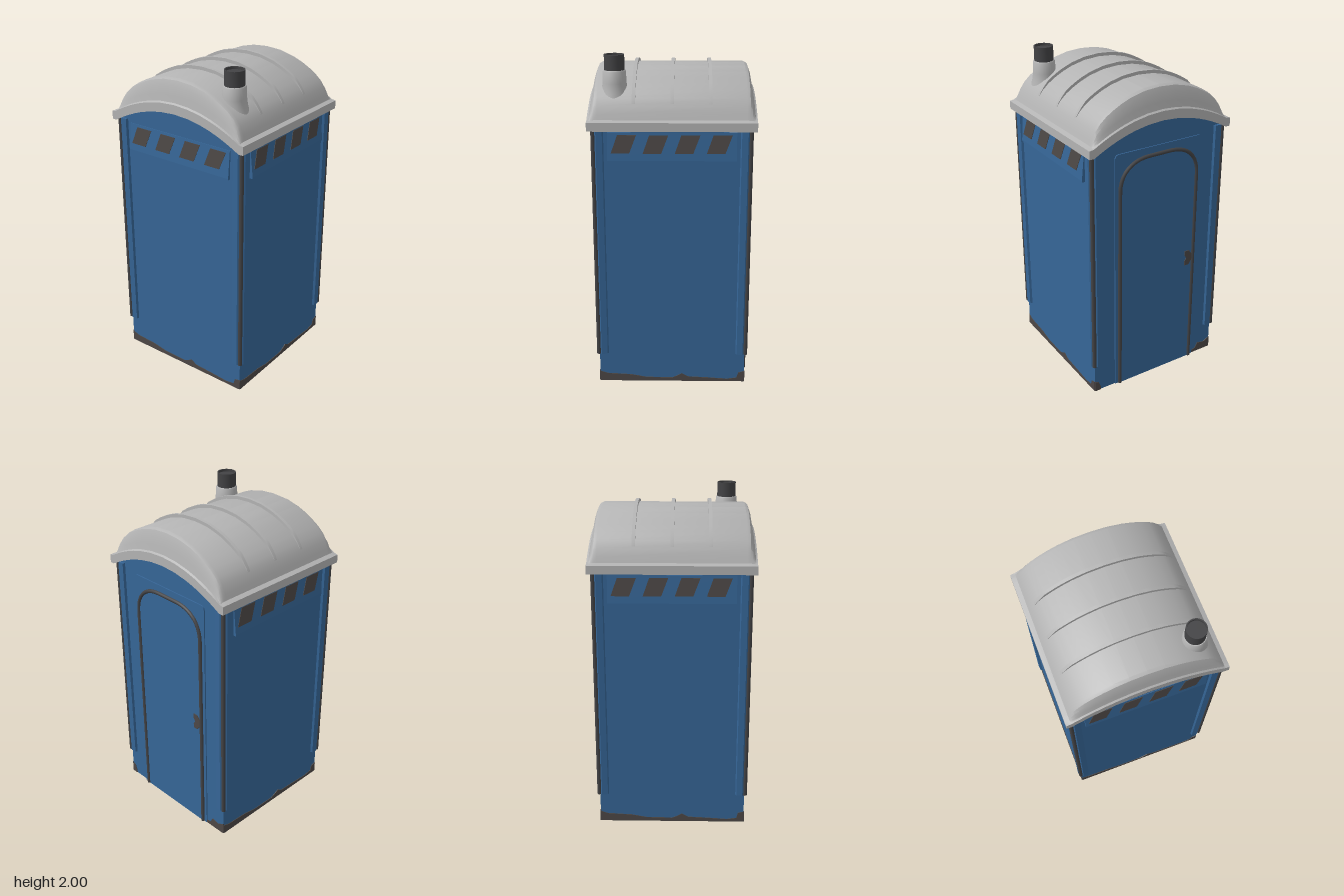
import * as THREE from 'three';
import { toCreasedNormals } from 'three/addons/utils/BufferGeometryUtils.js';

const mat = (name, color, side = THREE.FrontSide) => {
  const m = new THREE.MeshStandardMaterial({ color, side });
  m.name = name;
  return m;
};

const W = 0.445; // half width of the cabin

// Roof curves along z: underside, top of the end lip, and main shell
const under = z => Math.max(1.59, 1.72 - 0.13 * (z / 0.45) ** 2);
const lipTop = z => Math.max(1.64, 1.775 - 0.135 * (z / 0.46) ** 2);
const SHELL = [[0, 1.915], [0.1, 1.908], [0.19, 1.886], [0.25, 1.862], [0.3, 1.836], [0.35, 1.804],
  [0.39, 1.768], [0.42, 1.727], [0.44, 1.68], [0.452, 1.65], [0.48, 1.64]];
const shell = z => {
  const a = Math.abs(z);
  const i = Math.max(1, SHELL.findIndex(p => p[0] >= a - 1e-6));
  const [p, q] = [SHELL[i - 1], SHELL[i]];
  return p[1] + (q[1] - p[1]) * (a - p[0]) / (q[0] - p[0]);
};

const shapeOf = pts => new THREE.Shape(pts.map(p => new THREE.Vector2(p[0], p[1])));
const extrude = (pts, depth) => new THREE.ExtrudeGeometry(shapeOf(pts), { depth, bevelEnabled: false });

// Arched shell lofted along x, closed by a lip at each end
function roofGeometry() {
  const half = SHELL.map(p => p[0]);
  const zs = [...half.slice(1).reverse(), ...half.map(z => -z)];
  const n = zs.length, ring = 2 * n;
  const ends = [[0.482, 0], [0.472, 0.06], [0.464, 0.35], [0.455, 0.7], [0.443, 0.93], [0.425, 1]];
  const stations = [...ends.map(([x, k]) => [-x, k]), ...ends.slice().reverse()];
  const pos = [], idx = [];
  for (const [x, k] of stations) {
    for (const z of zs) pos.push(x, lipTop(z) + k * (shell(z) - lipTop(z)), z);
    for (const z of zs.slice().reverse()) pos.push(x, under(z), z);
  }
  for (let s = 0; s < stations.length - 1; s++) {
    for (let i = 0; i < ring; i++) {
      const j = (i + 1) % ring;
      const a = s * ring + i, b = s * ring + j, c = b + ring, d = a + ring;
      idx.push(a, d, c, a, c, b);
    }
  }
  const last = (stations.length - 1) * ring;
  for (let i = 0; i < n - 1; i++) {
    const t0 = i, t1 = i + 1, b0 = ring - 1 - i, b1 = ring - 2 - i;
    idx.push(last + t0, last + b0, last + b1, last + t0, last + b1, last + t1);
    idx.push(t0, b1, b0, t0, t1, b1);
  }
  const g = new THREE.BufferGeometry();
  g.setAttribute('position', new THREE.Float32BufferAttribute(pos, 3));
  g.setIndex(idx);
  return toCreasedNormals(g, 0.5);
}

export function createModel() {
  const blue = mat('blue plastic', 0x366697);
  const blueWall = mat('blue wall', 0x366697, THREE.DoubleSide);
  const grey = mat('light grey roof', 0xb4b4b4);
  const trim = mat('dark trim', 0x434345);
  const grime = mat('dark brown grey', 0x4d4846);

  const model = new THREE.Group();
  const add = (parent, name, geo, material, x = 0, y = 0, z = 0) => {
    const m = new THREE.Mesh(geo, material);
    m.name = name;
    m.position.set(x, y, z);
    parent.add(m);
    return m;
  };

  // Louvred vent hood with slanted dark slots, leaning out at the bottom
  const addVent = side => {
    const hood = extrude([[0, 1.41], [0.02, 1.41], [0.02, 1.418], [0.004, 1.58], [0, 1.58]], 0.736);
    hood.rotateY(-Math.PI / 2); // profile x becomes z
    add(side, 'ventHood', hood, blue, 0.368, 0, W);
    const slot = extrude([[-0.055, 0.05], [0.05, 0.05], [0.09, 0.155], [-0.018, 0.155]], 0.003);
    for (let i = 0; i < 4; i++) {
      const m = add(side, 'ventSlot', slot, grime, -0.293 + i * 0.182, 1.41, W + 0.0207);
      m.rotation.x = -Math.atan(0.016 / 0.162);
    }
  };

  // Arched door with surround, dark seal and latch
  const addDoor = side => {
    const s = new THREE.Shape();
    s.moveTo(-0.3, 0);
    s.lineTo(0.3, 0);
    s.lineTo(0.3, 1.535);
    s.quadraticCurveTo(0.3, 1.565, 0.27, 1.565);
    s.lineTo(-0.27, 1.565);
    s.quadraticCurveTo(-0.3, 1.565, -0.3, 1.535);
    add(side, 'doorSurround', new THREE.ExtrudeGeometry(s, { depth: 0.007, bevelEnabled: false }), blue, 0, 0, W);
    const outline = new THREE.CurvePath();
    const v = (x, y) => new THREE.Vector3(x, y, 0);
    outline.add(new THREE.LineCurve3(v(-0.268, 0), v(-0.268, 1.33)));
    outline.add(new THREE.CubicBezierCurve3(v(-0.268, 1.33), v(-0.268, 1.45), v(-0.19, 1.513), v(-0.07, 1.513)));
    outline.add(new THREE.LineCurve3(v(-0.07, 1.513), v(0.07, 1.513)));
    outline.add(new THREE.CubicBezierCurve3(v(0.07, 1.513), v(0.19, 1.513), v(0.268, 1.45), v(0.268, 1.33)));
    outline.add(new THREE.LineCurve3(v(0.268, 1.33), v(0.268, 0)));
    add(side, 'doorSeal', new THREE.TubeGeometry(outline, 120, 0.012, 8), trim, 0, 0, W + 0.009);
    const panel = outline.getSpacedPoints(80).map(p => [p.x, p.y]);
    add(side, 'doorPanel', extrude(panel, 0.004), blue, 0, 0, W + 0.007);
    const latch = [[0.205, 0.71], [0.235, 0.71], [0.257, 0.74], [0.257, 0.78], [0.235, 0.81],
      [0.205, 0.81], [0.205, 0.78], [0.218, 0.76], [0.205, 0.74]];
    add(side, 'doorLatch', extrude(latch, 0.004), grime, 0, 0, W + 0.011);
  };

  // Irregular grime along the foot of a wall, seen from inside and out
  const addGrime = (side, tops) => {
    const pts = [[tops[0][0], 0], [tops[tops.length - 1][0], 0], ...tops.slice().reverse()];
    add(side, 'footGrime', extrude(pts, 0.008), grime, 0, 0, W - 0.004);
  };
  const longGrime = [[-W, 0.065], [-0.4, 0.05], [-0.25, 0.042], [-0.16, 0.025], [0, 0.022], [0.03, 0.035],
    [0.06, 0.052], [0.1, 0.03], [0.22, 0.024], [0.34, 0.016], [0.4, 0.025], [0.41, 0.06], [W, 0.07]];

  // Four sides, each built facing +z and turned into place
  const gable = [[-W, 0], [W, 0]];
  for (let i = 0; i <= 20; i++) {
    const x = W - (i / 20) * 2 * W;
    gable.push([x, under(x) + 0.005]);
  }
  const flat = [[-W, 0], [W, 0], [W, 1.6], [-W, 1.6]];
  const postOutline = [[0.39, W], [0.396, 0.459], [0.432, 0.463], [0.463, 0.432], [0.459, 0.396], [W, 0.39], [W, W]];
  const postGeo = extrude(postOutline.map(([x, z]) => [x, -z]), 1.41);
  postGeo.rotateX(-Math.PI / 2);
  const stripGeo = new THREE.CylinderGeometry(0.013, 0.013, 1.41, 10);

  ['frontSide', 'doorSide', 'backSide', 'leftSide'].forEach((unused, i) => {
    const side = new THREE.Group();
    side.name = ['frontSide', 'doorSide', 'backSide', 'plainSide'][i];
    side.rotation.y = i * Math.PI / 2;
    model.add(side);
    add(side, 'wall', new THREE.ShapeGeometry(shapeOf(i % 2 ? gable : flat)), blueWall, 0, 0, W);
    add(side, 'cornerPost', postGeo, blue, 0, 0.19, 0);
    add(side, 'cornerStrip', stripGeo, trim, 0.449, 0.895, 0.449);
    if (i === 1) {
      addDoor(side);
      addGrime(side, [[-W, 0.07], [-0.42, 0.06], [-0.405, 0.02]]);
      addGrime(side, [[0.285, 0.015], [0.33, 0.025], [0.35, 0.06], [0.4, 0.05], [W, 0.075]]);
    } else {
      addVent(side);
      addGrime(side, longGrime);
    }
  });

  // Roof shell and its three raised ribs
  add(model, 'roof', roofGeometry(), grey);
  const ribTop = [], ribBase = [];
  for (let i = 0; i <= 32; i++) {
    const z = -0.43 + (i / 32) * 0.86;
    ribTop.push([z, shell(z) + 0.02 * Math.min(1, (0.43 - Math.abs(z)) / 0.08)]);
    ribBase.unshift([z, shell(z) - 0.02]);
  }
  const ribGeo = extrude([...ribTop, ...ribBase], 0.02);
  ribGeo.rotateY(-Math.PI / 2); // profile x becomes z
  for (const x of [-0.218, 0, 0.218]) add(model, 'roofRib', toCreasedNormals(ribGeo, 0.5), grey, x + 0.01);

  // Vent pipe in its flared collar
  const lathe = pts => toCreasedNormals(
    new THREE.LatheGeometry(pts.map(p => new THREE.Vector2(p[0], p[1])), 32), 0.6);
  add(model, 'pipeCollar', lathe([[0.085, 1.76], [0.074, 1.8], [0.069, 1.84], [0.066, 1.905], [0.062, 1.912], [0.05, 1.912]]),
    grey, -0.33, 0, 0.31);
  add(model, 'ventPipe', lathe([[0.058, 1.9], [0.058, 2], [0.051, 2], [0.051, 1.985], [0, 1.985]]),
    trim, -0.33, 0, 0.31);

  return model;
}
